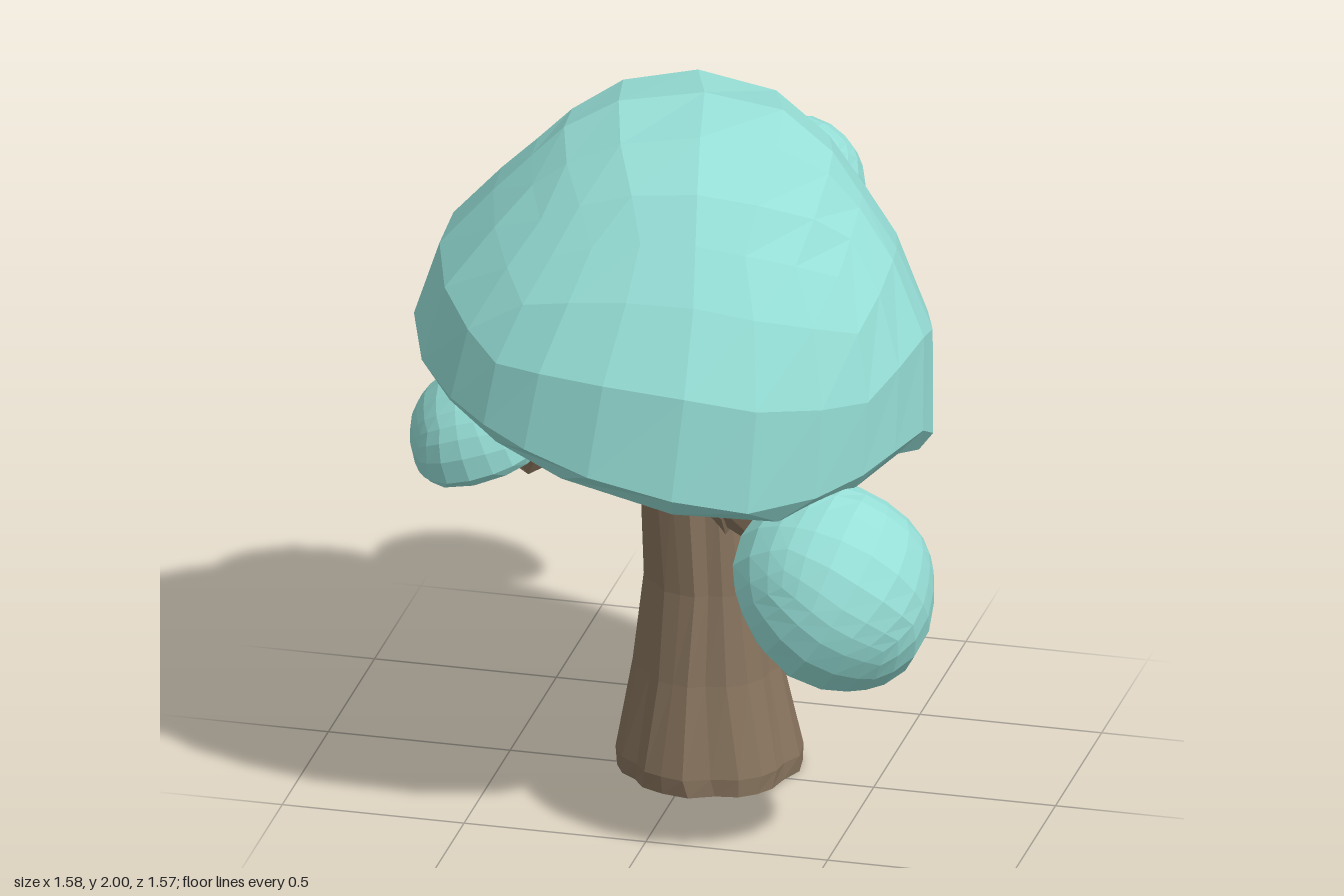
import * as THREE from 'three';

const V = (x, y, z) => new THREE.Vector3(x, y, z);
const circle = (n, fn) => Array.from({ length: n }, (_, j) => fn((j / n) * Math.PI * 2, j));

// Skin a list of equal-length vertex rings into a faceted surface
function loft(rings) {
  const pos = [];
  const tri = (a, b, c) => {
    const area = b.clone().sub(a).cross(c.clone().sub(a)).length();
    if (area > 1e-8) pos.push(...a.toArray(), ...b.toArray(), ...c.toArray());
  };
  for (let i = 0; i < rings.length - 1; i++) {
    const lo = rings[i], hi = rings[i + 1], n = lo.length;
    for (let j = 0; j < n; j++) {
      const k = (j + 1) % n;
      tri(lo[j], hi[j], lo[k]);
      tri(hi[j], hi[k], lo[k]);
    }
  }
  const g = new THREE.BufferGeometry();
  g.setAttribute('position', new THREE.Float32BufferAttribute(pos, 3));
  g.computeVertexNormals();
  return g;
}

// Hollowed underside of every dome, from the middle to the lip: radius, height
const UNDER = [[0, 0.3], [0.5, 0.18], [0.94, -0.12]];

// Half of a rounded box; place(angle, radius, height, isUnder) sets each vertex
function domeGeometry(place) {
  const g = new THREE.BoxGeometry(2, 1, 2, 6, 3, 6).translate(0, 0.5, 0);
  const pos = g.attributes.position;
  for (let i = 0; i < pos.count; i++) {
    const p = V(0, 0, 0).fromBufferAttribute(pos, i);
    const angle = Math.atan2(p.z, p.x);
    const reach = Math.max(Math.abs(p.x), Math.abs(p.z));
    const isUnder = p.y < 1e-6 && reach < 0.999;
    p.normalize();
    const [r, h] = isUnder ? UNDER[Math.round(reach * 3)] : [Math.hypot(p.x, p.z), p.y];
    pos.setXYZ(i, ...place(angle, r, h, isUnder).toArray());
  }
  g.computeVertexNormals();
  return g;
}

// Main crown: an uneven tilted rim drawn up to a rounded top
function crownGeometry() {
  const rim = new THREE.CatmullRomCurve3([
    [0.67, 1.06, 0.02], [0.67, 1.13, 0.18], [0.58, 1.1, 0.43], [0.37, 1.07, 0.67],
    [0.14, 1.12, 0.77], [-0.14, 1.18, 0.77], [-0.4, 1.25, 0.68], [-0.6, 1.31, 0.5],
    [-0.7, 1.36, 0.25], [-0.7, 1.38, 0], [-0.63, 1.31, -0.3], [-0.48, 1.19, -0.47],
    [-0.23, 1.08, -0.62], [0.05, 1.02, -0.62], [0.32, 0.93, -0.54], [0.55, 0.96, -0.32],
  ].map(p => V(...p)), true);
  return domeGeometry((angle, r, h, isUnder) => {
    const p = rim.getPoint((angle / (Math.PI * 2) + 1) % 1);
    if (isUnder) return V(p.x * r, 1.17 + (p.y - 1.17) * r + h * 0.5, 0.07 + (p.z - 0.07) * r);
    const bend = 2 * r * h;
    const slope = r * (1 + 0.03 * bend - 0.13 * bend ** 4);
    const rise = Math.min(1, h * 1.015);
    return V(0.05 * Math.min(1, 2 * h) + p.x * slope, p.y + (2 - p.y) * rise, 0.075 - 0.015 * h + (p.z - 0.07) * slope);
  });
}

// Small leaf cap around +y
function puffGeometry(seed) {
  return domeGeometry((angle, r, h) => {
    const wobble = r * (1 + 0.02 * Math.sin(2 * angle + seed) + 0.015 * Math.sin(5 * angle + seed * 2));
    return V(Math.cos(angle) * wobble, h, Math.sin(angle) * wobble);
  });
}

// Trunk: flared at the foot, with a few vertical bark grooves
function trunkGeometry() {
  const levels = [
    [0, 0.247, 0.035, -0.055], [0.05, 0.25, 0.035, -0.055], [0.3, 0.199, 0.03, -0.055],
    [0.55, 0.17, 0.03, -0.058], [0.85, 0.16, 0.01, -0.055], [1.0, 0.167, 0.005, -0.05],
    [1.35, 0.18, 0, -0.04],
  ];
  return loft(levels.map(([y, r, cx, cz], i) => circle(24, (a, j) => {
    const groove = j % 4 === 1 ? 0.93 : 1 + 0.012 * Math.sin(j * 2.3 + i * 0.3);
    const t = a + 0.05 * Math.sin(i * 1.4 + j);
    return V(cx + Math.cos(t) * r * groove, y, cz + Math.sin(t) * r * groove);
  })));
}

// Branch: six-sided, bent, tapering along its joints
function branchGeometry(points, r0, r1) {
  const p = points.map(q => V(...q));
  const last = p.length - 1;
  const rings = p.map((c, i) => {
    const t = p[Math.min(i + 1, last)].clone().sub(p[Math.max(i - 1, 0)]).normalize();
    const u = t.clone().cross(V(0, 1, 0)).normalize();
    const v = u.clone().cross(t);
    const r = r0 + (r1 - r0) * (i / last);
    return circle(6, a => c.clone().addScaledVector(u, Math.cos(a) * r).addScaledVector(v, Math.sin(a) * r));
  });
  const cap = c => circle(6, () => c.clone());
  return loft([cap(p[0]), ...rings, cap(p[last])]);
}

export function createModel() {
  const leaf = new THREE.MeshStandardMaterial({ color: 0x96dfd7, flatShading: true });
  leaf.name = 'leafTeal';
  const bark = new THREE.MeshStandardMaterial({ color: 0x88745e, flatShading: true, side: THREE.DoubleSide });
  bark.name = 'barkBrown';

  const tree = new THREE.Group();
  tree.name = 'tree';
  const add = (name, geometry, material) => {
    const mesh = new THREE.Mesh(geometry, material);
    mesh.name = name;
    tree.add(mesh);
    return mesh;
  };

  add('trunk', trunkGeometry(), bark);
  add('crown', crownGeometry(), leaf);

  // Branches
  add('frontLeftBranch', branchGeometry(
    [[0.1, 0.82, 0.0], [0.2, 0.82, 0.12], [0.33, 0.84, 0.33], [0.44, 0.75, 0.44], [0.53, 0.78, 0.53]], 0.085, 0.04), bark);
  add('branchKnot', branchGeometry([[0.06, 0.83, -0.02], [0.16, 0.79, 0.04]], 0.11, 0.095), bark);
  add('backRightBranch', branchGeometry(
    [[-0.05, 0.86, -0.08], [-0.16, 0.9, -0.16], [-0.3, 0.95, -0.29], [-0.44, 0.87, -0.44], [-0.57, 0.95, -0.57]], 0.1, 0.04), bark);
  add('frontRightBranch', branchGeometry(
    [[-0.03, 0.95, 0.0], [-0.13, 1.0, 0.1], [-0.25, 1.07, 0.21], [-0.38, 1.0, 0.3], [-0.47, 1.1, 0.38]], 0.09, 0.04), bark);

  // Leaf caps: name, centre, outward axis, size
  const puffs = [
    ['frontLeftPuff', [0.505, 0.78, 0.485], [0.54, 0.64, 0.54], [0.285, 0.28, 0.285]],
    ['backRightPuff', [-0.52, 0.99, -0.505], [-0.58, 0.57, -0.58], [0.28, 0.255, 0.28]],
    ['backPuff', [0.14, 1.45, -0.575], [0.1, 0.68, -0.72], [0.185, 0.205, 0.22]],
    ['frontRightPuff', [-0.47, 1.08, 0.38], [-0.3, 0.9, 0.2], [0.21, 0.2, 0.21]],
  ];
  puffs.forEach(([name, centre, axis, size], i) => {
    const puff = add(name, puffGeometry(i * 1.7), leaf);
    puff.position.set(...centre);
    puff.scale.set(...size);
    puff.quaternion.setFromUnitVectors(V(0, 1, 0), V(...axis).normalize());
  });
  return tree;
}
